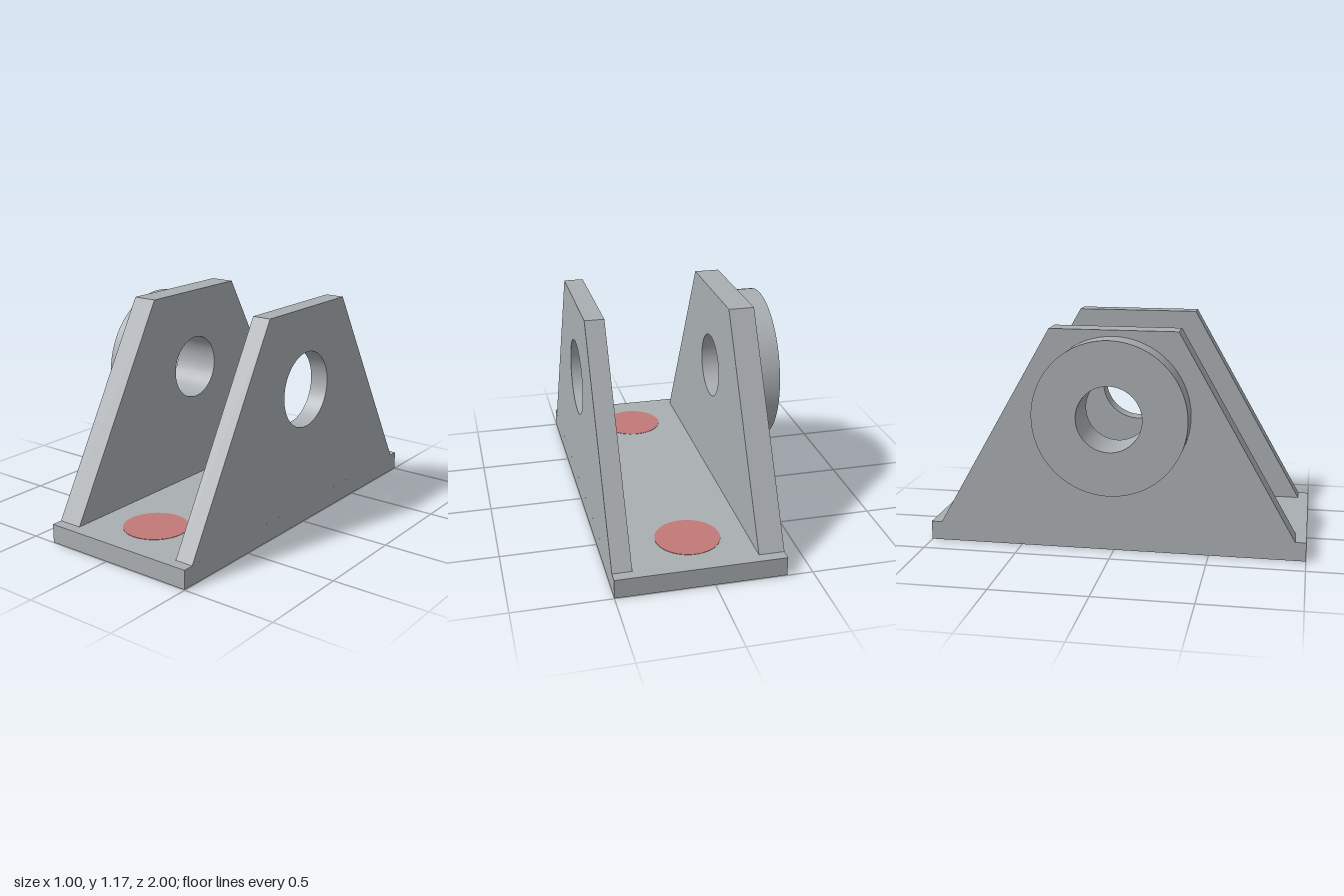
import * as THREE from 'three';
import { toCreasedNormals } from 'three/addons/utils/BufferGeometryUtils.js';

const BASE_X = 0.0667, BASE_WIDTH = 0.8667, BASE_TOP = 0.1, AXIS_Y = 0.735;

// Extrude a side outline with a round bore along x, from x0 to x1
function boredPlate(shape, bore, x0, x1) {
  const hole = new THREE.Path();
  hole.absarc(0, AXIS_Y, bore, 0, Math.PI * 2, true);
  shape.holes.push(hole);
  const geo = new THREE.ExtrudeGeometry(shape, { depth: x1 - x0, bevelEnabled: false, curveSegments: 48 });
  geo.rotateY(Math.PI / 2).translate(x0, 0, 0);
  return toCreasedNormals(geo, 0.5);
}

function cheekShape() {
  return new THREE.Shape([[-0.943, BASE_TOP], [0.943, BASE_TOP], [0.333, 1.167], [-0.333, 1.167]]
    .map(([x, y]) => new THREE.Vector2(x, y)));
}

export function createModel() {
  const model = new THREE.Group();
  model.name = 'bracket';
  const steel = new THREE.MeshStandardMaterial({ color: 0xa9aeb2 });
  steel.name = 'grey steel';
  const red = new THREE.MeshStandardMaterial({ color: 0xc27878 });
  red.name = 'muted red';

  const add = (name, geo, mat, x = 0, y = 0, z = 0) => {
    const mesh = new THREE.Mesh(geo, mat);
    mesh.name = name;
    mesh.position.set(x, y, z);
    model.add(mesh);
  };

  add('basePlate', new THREE.BoxGeometry(BASE_WIDTH, BASE_TOP, 2), steel, BASE_X, BASE_TOP / 2, 0);

  // Two upright cheeks: a thick one with the narrower bore, a thin one with the wider bore
  add('thickCheek', boredPlate(cheekShape(), 0.17, -0.367, -0.235), steel);
  add('thinCheek', boredPlate(cheekShape(), 0.2, 0.4, 0.5), steel);

  // Round boss outside the thick cheek
  const disc = new THREE.Shape();
  disc.absarc(0, AXIS_Y, 0.4, 0, Math.PI * 2, false);
  add('boss', boredPlate(disc, 0.17, -0.5, -0.367), steel);

  // Countersunk fixing marks: wide on top of the base, narrow underneath
  for (const z of [-0.7, 0.7]) {
    add('topFixing', new THREE.CylinderGeometry(0.167, 0.167, 0.004, 48), red, BASE_X, BASE_TOP, z);
    add('bottomFixing', new THREE.CylinderGeometry(0.1, 0.1, 0.004, 48), red, BASE_X, 0, z);
  }
  return model;
}
